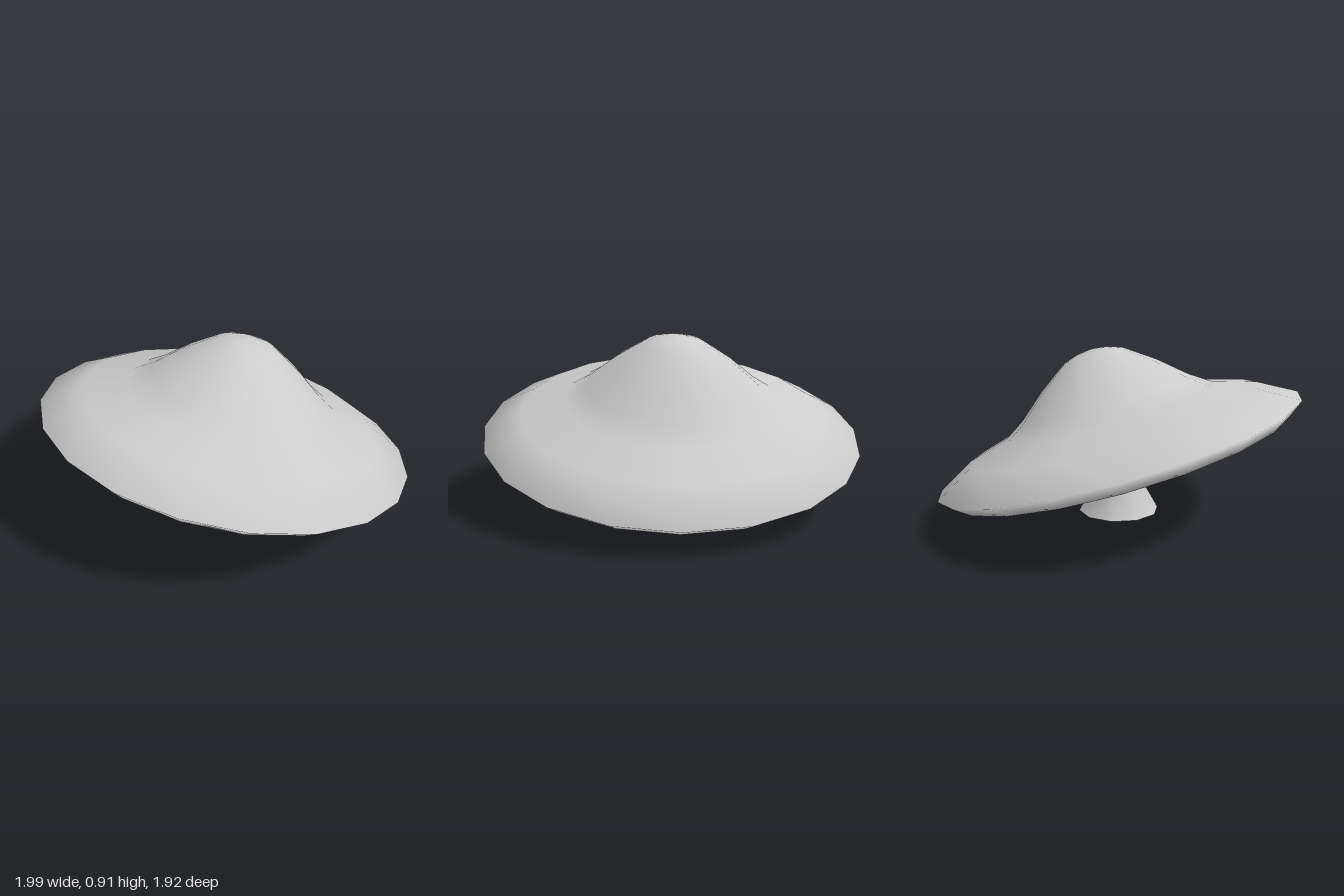
import * as THREE from 'three';

const lathe = (name, profile, sides, phase) => {
  const geometry = new THREE.LatheGeometry(profile.map(([r, y]) => new THREE.Vector2(r, y)), sides, phase);
  const mesh = new THREE.Mesh(geometry, new THREE.MeshStandardMaterial({ color: 0xcccccc }));
  mesh.name = name;
  return mesh;
};

export function createModel() {
  const group = new THREE.Group();
  group.name = 'mushroom';

  // Wide cap: shallow underside, thin lip, then a flared cone up to a rounded tip
  const cap = lathe('cap', [
    [0, 0.21], [0.14, 0.2], [0.5, 0.09], [0.75, 0], [0.92, -0.065],
    [1, 0], [0.8, 0.11], [0.57, 0.177], [0.46, 0.25], [0.32, 0.37],
    [0.16, 0.482], [0.08, 0.508], [0, 0.517],
  ], 20, -0.035);
  // The cap leans towards the back and slightly to the left
  cap.quaternion.setFromUnitVectors(
    new THREE.Vector3(0, 1, 0), new THREE.Vector3(0.08, 1, -0.28).normalize());
  cap.position.y = 0.4;
  group.add(cap);

  // Tapered stem with a flared foot
  const stem = lathe('stem', [
    [0.22, 0.005], [0.142, 0.145], [0.128, 0.3], [0.096, 0.58], [0.092, 0.66],
  ], 10, 0.1);
  stem.position.set(0.034, 0, 0.005);
  group.add(stem);

  // Flat sole closing the foot
  const sole = lathe('sole', [[0, 0], [0.22, 0.005]], 10, 0.1);
  sole.position.copy(stem.position);
  group.add(sole);

  return group;
}
